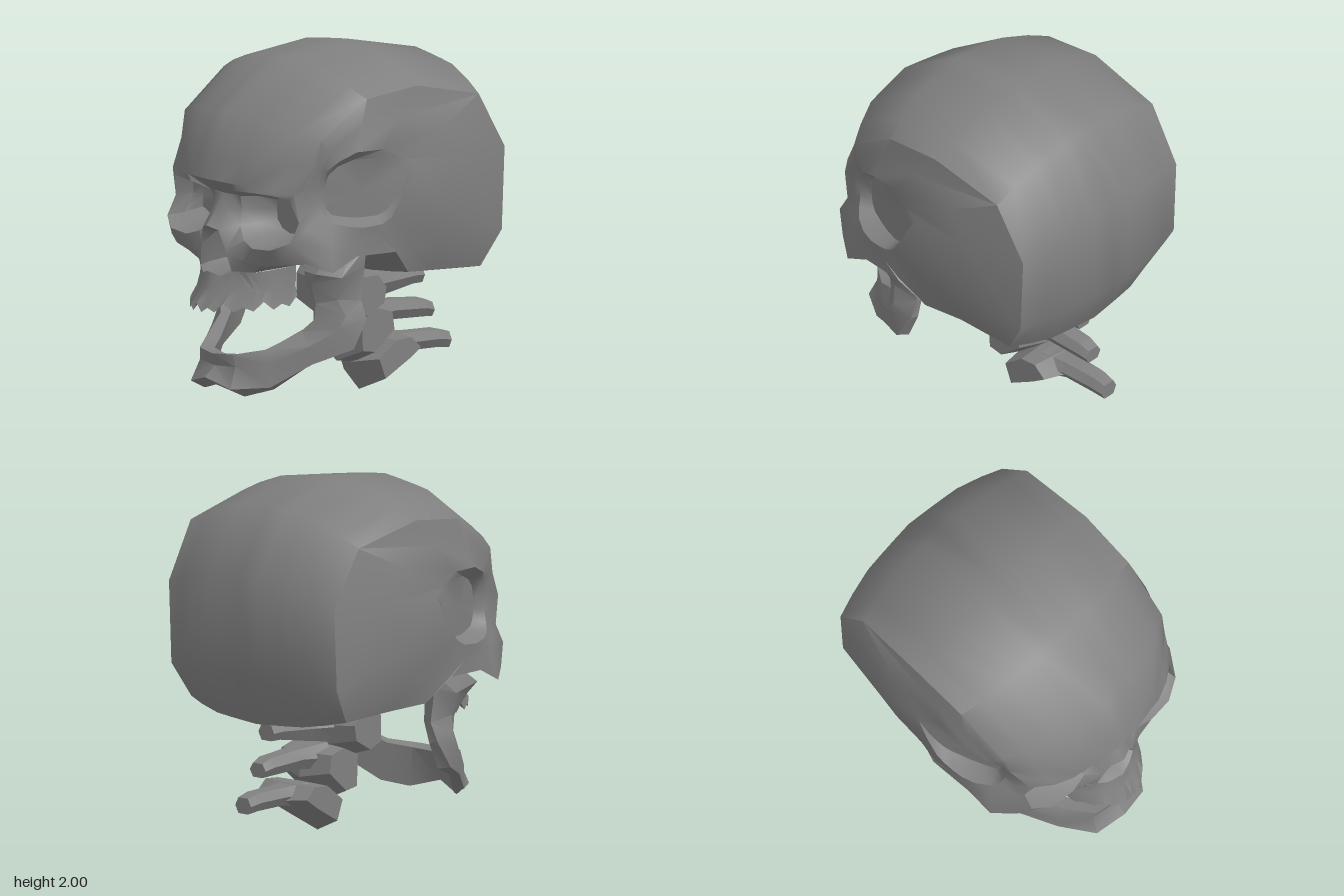
import * as THREE from 'three';
import { toCreasedNormals } from 'three/addons/utils/BufferGeometryUtils.js';

const material = new THREE.MeshStandardMaterial({ color: 0x808080, side: THREE.DoubleSide });
const lerp = (a, b, t) => a.map((v, k) => v + (b[k] - v) * t);
const same = (a, b) => a.every((v, k) => Math.abs(v - b[k]) < 1e-6);

// Skin rows of points; returns a flat list of triangle corners
function loft(rows, closed = false) {
  const out = [];
  const tri = (a, b, c) => { if (!same(a, b) && !same(b, c) && !same(a, c)) out.push(a, b, c); };
  for (let i = 0; i < rows.length - 1; i++) {
    const n = rows[i].length;
    for (let j = 0; j < (closed ? n : n - 1); j++) {
      const k = (j + 1) % n;
      const [a, b, c, d] = [rows[i][j], rows[i][k], rows[i + 1][k], rows[i + 1][j]];
      tri(a, b, c);
      tri(a, c, d);
    }
  }
  return out;
}

// Add the mirror image across x = 0
function mirrored(tris) {
  const out = [...tris];
  for (let i = 0; i < tris.length; i += 3)
    for (const k of [0, 2, 1]) out.push([-tris[i + k][0], tris[i + k][1], tris[i + k][2]]);
  return out;
}

function makeMesh(name, tris, crease) {
  const geo = new THREE.BufferGeometry();
  geo.setAttribute('position', new THREE.Float32BufferAttribute(tris.flat(), 3));
  const mesh = new THREE.Mesh(toCreasedNormals(geo, crease), material);
  mesh.name = name;
  return mesh;
}

const middle = (ring) => ring.reduce((s, p) => s.map((v, k) => v + p[k] / ring.length), [0, 0, 0]);
const capEnd = (ring) => ring.map(() => middle(ring));

// Eye socket rim, inner top corner outwards and round
const rim = [
  [.13, 1.22, .69], [.20, 1.27, .785], [.33, 1.275, .77], [.44, 1.27, .72], [.52, 1.25, .65], [.56, 1.12, .61],
  [.56, 1.01, .67], [.45, .96, .73], [.30, .95, .74], [.20, .98, .72], [.13, 1.05, .69], [.12, 1.14, .67],
];
// Outline of the flat side of the skull: brow, over the top, back, along the cheek arch
const side = [
  [.55, 1.28, .64], [.60, 1.43, .54], [.62, 1.58, .50], [.65, 1.79, .20], [.66, 1.83, -.15], [.64, 1.73, -.60],
  [.63, 1.41, -.79], [.63, .94, -.77], [.59, .74, -.65], [.61, .76, -.30], [.665, .78, -.08], [.735, .92, .06],
  [.715, .92, .32], [.70, .84, .48], rim[6], rim[5],
];
// Rim of the temple hollow, one point per side outline point
const temple = [
  [.58, 1.31, .485], [.61, 1.40, .46], [.66, 1.46, .40], [.69, 1.505, .30], [.705, 1.505, .13], [.725, 1.44, 0],
  [.735, 1.40, -.06], [.745, 1.24, .02], [.745, 1.12, .10], [.74, 1.09, .16], [.735, 1.085, .22], [.725, 1.08, .28],
  [.70, 1.09, .36], [.65, 1.11, .44], [.61, 1.16, .475], [.59, 1.22, .485],
];
// Inner edge under the cheek arch
const arch = [side[10], [.62, .92, .10], [.60, .95, .28], [.58, .92, .42]];
// Upper edge of the teeth block, half
const gumTop = [[0, .79, .82], [.08, .77, .79], [.14, .80, .76], [.24, .80, .68], [.29, .82, .42]];

function vaultRows() {
  // [z, y] down the middle, each paired with a side edge point
  const mid = [
    [.83, 1.315], [.80, 1.43], [.69, 1.68], [.30, 1.95], [-.16, 2], [-.65, 1.90], [-.89, 1.52], [-.90, .97],
    [-.75, .67], [-.35, .69], [-.05, .74], [.08, .81], [.20, .89], [.42, .86], [.42, .80],
  ];
  const edge = [...side.slice(0, 10), ...arch, gumTop[4]];
  // [share of the width, share of the drop towards the edge]
  const across = [[0, 0], [.2, .09], [.38, .18], [.55, .28], [.8, .63], [1, 1]];
  return mid.map(([z, y], i) => across.map(([t, f]) => {
    const [ex, ey, ez] = edge[i];
    return [ex * t, y + (ey - y) * f, z + (ez - z) * f];
  }));
}

function skullTriangles() {
  const vault = vaultRows();
  // Side wall with temple hollow
  const floor = temple.map(([, y, z]) => {
    const fy = 1.26 + (y - 1.26) * .78, fz = .05 + (z - .05) * .87;
    return [.74 - Math.max(0, fz + .03) * .40, fy, fz];
  });
  const bulge = side.map((p, i) => {
    const m = lerp(temple[i], p, .5);
    if (i > 4 && i < 11) m[0] += .028;
    return m;
  });
  const wall = loft([capEnd(floor), floor, temple, bulge, side], true);

  // Eye socket
  const c = middle(rim);
  const ring = (s, z) => rim.map((p) => [c[0] + (p[0] - c[0]) * s, c[1] + (p[1] - c[1]) * s, z(p[2])]);
  const back = ring(.65, () => .48);
  const socket = loft([capEnd(back), back, ring(.91, (z) => z - .11), rim], true);

  // Brow underside and outer corner of the socket
  const brow = loft([[[0, 1.225, .71], ...rim.slice(0, 5)], vault[0]]);
  const corner = loft([[rim[4], rim[5]], [side[0], side[0]]]);

  // Nose bridge and nose opening
  const nose = [[0, 1.05, .83], [.07, 1.03, .80], [.11, .92, .78], gumTop[2], gumTop[1], gumTop[0]];
  const bridge = loft([
    [[0, 1.225, .71], [0, 1.14, .755], nose[0]],
    [[.07, 1.22, .70], [.06, 1.14, .735], nose[1]],
    [rim[0], rim[11], rim[10]],
  ]);
  const noseRing = (s, z) => nose.map((p) => [p[0] * s, .89 + (p[1] - .89) * s, z]);
  const opening = loft([noseRing(0, .60), noseRing(.6, .62), noseRing(.78, .72), nose]);

  // Cheek, its underside, and the slope down to the teeth block
  const cheekLow = [side[13], [.61, .89, .60], [.46, .87, .68], [.33, .85, .70], [.21, .87, .74], nose[2], nose[1]];
  const cheek = loft([[rim[6], ...rim.slice(6, 11), rim[10]], cheekLow]);
  const under = loft([cheekLow.slice(0, 4), [arch[3], arch[3], [.45, .89, .45], gumTop[4]]]);
  const slope = loft([
    [cheekLow[3], cheekLow[3], cheekLow[4], nose[2]],
    [gumTop[4], gumTop[3], gumTop[3], gumTop[2]],
  ]);
  const archUnder = loft([side.slice(10, 14), arch]);

  return mirrored([loft(vault), wall, socket, brow, corner, bridge, opening, cheek, under, slope, archUnder].flat());
}

// Upper teeth block: horseshoe rows with a worn, uneven biting edge
function upperTeeth() {
  const shoe = (half) => {
    const pts = [...half.slice(1).reverse().map(([x, y, z]) => [-x, y, z]), ...half];
    const curve = new THREE.CatmullRomCurve3(pts.map((p) => new THREE.Vector3(...p)));
    return curve.getPoints(24).map((p) => p.toArray());
  };
  const bite = shoe([[0, .57, .90], [.11, .575, .86], [.22, .58, .74], [.29, .585, .58], [.30, .60, .42]])
    .map(([x, y, z], i) => [x, y + [.05, 0, .025, 0][i % 4], z]);
  const gum = shoe([[0, .69, .835], [.11, .69, .805], [.22, .69, .71], [.275, .69, .57], [.285, .70, .42]]);
  const inner = bite.map(([x, , z]) => [x * .75, .67, .42 + (z - .42) * .8]);
  const palate = inner.map(([, , z]) => [0, .72, z]);
  return loft([palate, inner, bite, gum, shoe(gumTop)]);
}

// Lower jaw: five-sided sections from the chin to the hinge
function jawTriangles() {
  const sections = [
    [[0, .32, .79], [0, .25, .77], [0, .19, .84], [0, .14, .76], [0, .31, .70]],
    [[.15, .33, .76], [.16, .26, .75], [.18, .14, .80], [.18, .09, .70], [.13, .32, .67]],
    [[.27, .36, .62], [.30, .28, .63], [.31, .15, .62], [.28, .13, .57], [.22, .35, .56]],
    [[.37, .46, .44], [.44, .38, .45], [.45, .28, .43], [.40, .27, .40], [.33, .46, .40]],
    [[.43, .53, .40], [.54, .47, .32], [.57, .36, .23], [.51, .35, .19], [.37, .51, .36]],
    [[.44, .62, .40], [.55, .55, .27], [.56, .52, .13], [.50, .50, .13], [.37, .62, .36]],
    [[.48, .74, .465], [.51, .64, .30], [.51, .62, .13], [.45, .62, .14], [.37, .74, .42]],
    [[.54, .81, .48], [.55, .77, .30], [.54, .82, .13], [.46, .82, .14], [.38, .80, .43]],
    [[.53, .87, .40], [.53, .82, .26], [.53, .92, .11], [.46, .92, .12], [.42, .87, .38]],
  ];
  return mirrored(loft([...sections, capEnd(sections[8])], true));
}

// Neck bone: a body narrowing sideways and a spine pointing back
function neckBone(name, profile, width, spine) {
  const cz = profile.reduce((s, p) => s + p[0] / profile.length, 0);
  const cy = profile.reduce((s, p) => s + p[1] / profile.length, 0);
  const slice = (x, s, lift) => profile.map(([z, y]) => [x, cy + (y - cy) * s + lift, cz + (z - cz) * s]).reverse();
  const slices = [slice(-width, .72, .03), slice(0, 1, 0), slice(width, .72, .03)];
  const body = loft([capEnd(slices[0]), ...slices, capEnd(slices[2])], true);
  const rings = spine.map(([z, y, h, w]) => [[-w * .6, y + h, z], [w * .6, y + h, z], [w, y, z],
    [w * .6, y - h, z], [-w * .6, y - h, z], [-w, y, z]]);
  const tail = loft([...rings, capEnd(rings[rings.length - 1])], true);
  return makeMesh(name, [...body, ...tail], .3);
}

export function createModel() {
  const group = new THREE.Group();
  group.name = 'skull';
  group.add(
    makeMesh('cranium', skullTriangles(), .85),
    makeMesh('upperTeeth', upperTeeth(), .6),
    makeMesh('lowerJaw', jawTriangles(), .6),
    neckBone('upperNeckBone', [[.02, .64], [-.02, .70], [-.2, .70], [-.28, .60], [-.26, .48], [-.1, .39], [.02, .44]], .27,
      [[-.16, .60, .10, .18], [-.36, .60, .075, .09], [-.6, .615, .05, .07], [-.67, .61, .045, .06]]),
    neckBone('middleNeckBone', [[-.08, .43], [-.24, .50], [-.38, .46], [-.40, .32], [-.21, .16], [-.09, .18]], .19,
      [[-.26, .43, .08, .14], [-.45, .435, .055, .08], [-.68, .42, .05, .07], [-.74, .405, .04, .06]]),
    neckBone('lowerNeckBone', [[-.19, .16], [-.36, .29], [-.50, .30], [-.60, .21], [-.48, .13], [-.25, 0]], .19,
      [[-.42, .23, .07, .13], [-.58, .24, .05, .08], [-.78, .235, .05, .07], [-.86, .22, .045, .06]]),
  );
  return group;
}
